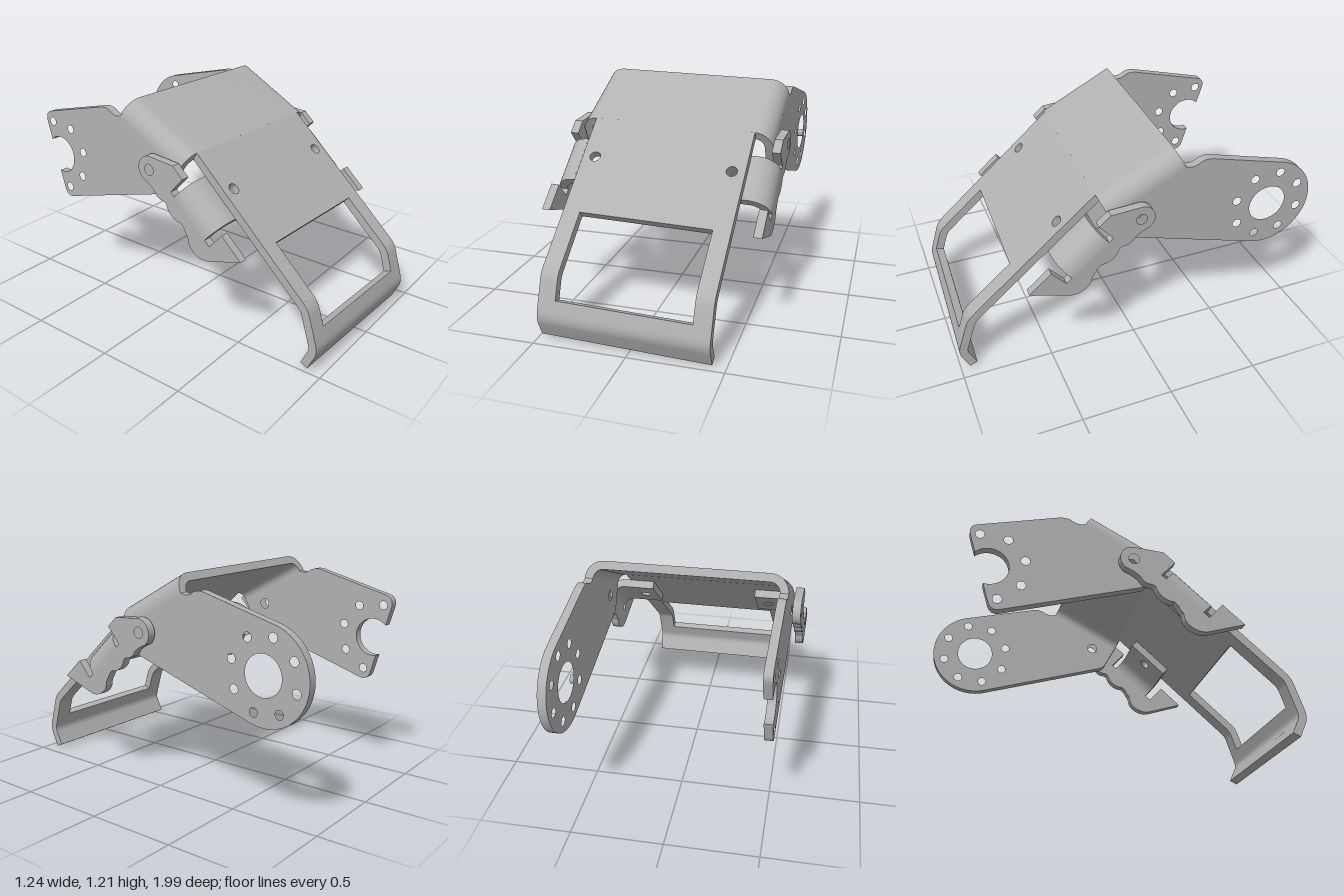
import * as THREE from 'three';
import { toCreasedNormals } from 'three/addons/utils/BufferGeometryUtils.js';

const T = 0.046; // sheet thickness
const RAD = Math.PI / 180;
const V = (x, y) => new THREE.Vector2(x, y);

export function createModel() {
  const steel = new THREE.MeshStandardMaterial({ color: 0xb2b2b2 });
  steel.name = 'sheetGrey';

  const extrude = (shape, depth) =>
    new THREE.ExtrudeGeometry(shape, { depth, bevelEnabled: false, curveSegments: 24 });
  const add = (parent, name, geometry) => {
    const mesh = new THREE.Mesh(toCreasedNormals(geometry, 0.6), steel);
    mesh.name = name;
    parent.add(mesh);
  };
  // shape drawn in (z, y), extruded across x around xMid
  const upright = (shape, width, xMid) =>
    extrude(shape, width).rotateY(-Math.PI / 2).translate(xMid + width / 2, 0, 0);
  // shape drawn in (x, z), thickened downward from y = top
  const flat = (shape, top) => extrude(shape, T).rotateX(Math.PI / 2).translate(0, top, 0);
  const hole = (shape, x, y, r) =>
    shape.holes.push(new THREE.Path().absarc(x, y, r, 0, Math.PI * 2, true));
  // quarter bend points from the top face down to the side face
  const bend = (side, cx, cy, r) =>
    Array.from({ length: 11 }, (_, i) => {
      const a = (i / 10) * Math.PI / 2;
      return V(side * (cx + r * Math.sin(a)), cy + r * Math.cos(a));
    });
  // group whose y axis is the panel normal and z axis runs down the panel
  const panelFrame = (name, y, z, slopeY, slopeZ) => {
    const X = new THREE.Vector3(1, 0, 0);
    const D = new THREE.Vector3(0, slopeY, slopeZ).normalize();
    const N = new THREE.Vector3().crossVectors(D, X);
    const group = new THREE.Group();
    group.name = name;
    group.applyMatrix4(new THREE.Matrix4().makeBasis(X, N, D).setPosition(0, y, z));
    return group;
  };

  const body = new THREE.Group();
  body.name = 'bracketBody';

  // upper panel with both sides folded down
  const upper = panelFrame('upperPanel', 1.205, -0.2, -0.215, 0.405);
  const arch = new THREE.Shape([
    ...bend(-1, 0.45, -0.1, 0.1).reverse(), ...bend(1, 0.45, -0.1, 0.1),
    ...bend(1, 0.45, -0.1, 0.1 - T).reverse(), ...bend(-1, 0.45, -0.1, 0.1 - T),
  ]);
  add(upper, 'foldedPanel', extrude(arch, 0.4585));
  body.add(upper);

  // side plates: one with a full ring of holes, one ending in a half-round notch
  const sidePlate = (notched) => {
    const cz = -0.755, cy = 0.776, R = 0.258, axis = 16.5 * RAD, bore = 0.107;
    const at = (a, b) => [cz + a * Math.cos(axis) - b * Math.sin(axis),
      cy + a * Math.sin(axis) + b * Math.cos(axis)];
    const s = new THREE.Shape();
    s.moveTo(0.158, 0.902);
    s.lineTo(0.095, 0.785);
    s.quadraticCurveTo(0.078, 0.755, 0.045, 0.748);
    if (notched) {
      const end = -0.05, half = Math.acos(end / bore);
      s.lineTo(...at(0, -R));
      s.quadraticCurveTo(...at(end, -R), ...at(end, -R + 0.06));
      s.lineTo(...at(end, -Math.sqrt(bore * bore - end * end)));
      s.absarc(cz, cy, bore, axis - half, axis + half, false);
      s.lineTo(...at(end, R - 0.06));
      s.quadraticCurveTo(...at(end, R), ...at(0, R));
    } else {
      s.absarc(cz, cy, R, axis - Math.PI / 2, axis - Math.PI * 1.5, true);
      hole(s, cz, cy, bore);
    }
    s.lineTo(-0.41, 1.132);
    s.quadraticCurveTo(-0.36, 1.147, -0.325, 1.127);
    s.quadraticCurveTo(-0.29, 1.1, -0.247, 1.117);
    for (let k = -2; k <= (notched ? 2 : 5); k++) {
      hole(s, ...at(0.197 * Math.cos(k * 45 * RAD), 0.197 * Math.sin(k * 45 * RAD)), 0.024);
    }
    hole(s, 0.007, 0.892, 0.03);
    return s;
  };
  add(body, 'leftSidePlate', upright(sidePlate(false), T, 0.55 - T / 2));
  add(body, 'rightSidePlate', upright(sidePlate(true), T, -0.55 + T / 2));

  // sloping front panel, open below for the window
  const W = 0.457, win = 0.362, foldT = 0.92;
  const front = panelFrame('frontPanel', 0.99, 0.205, -0.642, 0.713);
  const sheet = new THREE.Shape([
    V(-W, 0), V(W, 0), V(W, foldT), V(win, foldT), V(win, 0.598),
    V(-win, 0.598), V(-win, foldT), V(-W, foldT),
  ]);
  for (const s of [-1, 1]) hole(sheet, s * 0.385, 0.252, 0.03);
  add(front, 'slopingSheet', flat(sheet, 0));

  // side brackets: pad under the sheet, bent tab, outer plate with scalloped edge
  const t0 = 0.117, t1 = 0.386, tabX = 0.485, tabR = 0.12, root = -0.045 - tabR;
  const ear = new THREE.Shape();
  ear.moveTo(0, -0.047);
  ear.lineTo(0.085, -0.047);
  ear.lineTo(0.085, root);
  ear.lineTo(0.427, root);
  ear.lineTo(0.427, -0.047);
  ear.lineTo(0.588, -0.047);
  ear.lineTo(0.482, -0.228);
  ear.quadraticCurveTo(0.455, -0.272, 0.41, -0.281);
  ear.quadraticCurveTo(0.365, -0.292, 0.335, -0.27);
  ear.quadraticCurveTo(0.315, -0.25, 0.29, -0.25);
  ear.quadraticCurveTo(0.265, -0.235, 0.235, -0.24);
  ear.quadraticCurveTo(0.21, -0.265, 0.17, -0.264);
  ear.quadraticCurveTo(0.14, -0.264, 0.12, -0.25);
  ear.quadraticCurveTo(0.1, -0.24, 0.08, -0.258);
  ear.quadraticCurveTo(0.05, -0.278, 0.015, -0.262);
  ear.quadraticCurveTo(-0.03, -0.262, -0.075, -0.28);
  ear.absarc(-0.0816, -0.205, 0.075, 275 * RAD, 132 * RAD, true);
  hole(ear, -0.0816, -0.205, 0.03);
  for (const s of [-1, 1]) {
    const bracket = new THREE.Group();
    bracket.name = s > 0 ? 'leftBracket' : 'rightBracket';
    const pad = new THREE.Shape([V(s * 0.31, t0), V(s * tabX, t0), V(s * tabX, t1), V(s * 0.31, t1)]);
    hole(pad, s * 0.385, 0.252, 0.03);
    add(bracket, 'mountingPad', flat(pad, -0.0455));
    const tab = new THREE.Shape([
      ...bend(s, tabX, root, tabR), ...bend(s, tabX, root, tabR - T).reverse(),
    ]);
    add(bracket, 'bentTab', extrude(tab, t1 - t0).translate(0, 0, t0));
    add(bracket, 'outerPlate', upright(ear, T, s * (tabX + tabR - T / 2)));
    front.add(bracket);
  }
  body.add(front);

  // lower lip: a ribbon following the outer face, thickened inward
  const corner = (a, v, b) =>
    new THREE.QuadraticBezierCurve(a, v, b).getPoints(6);
  const ribbon = (pts) => {
    const inner = pts.map((p, i) => {
      const d = pts[Math.min(i + 1, pts.length - 1)].clone().sub(pts[Math.max(i - 1, 0)]).normalize();
      return V(p.x + d.y * T, p.y - d.x * T);
    });
    return new THREE.Shape([...pts, ...inner.reverse()]);
  };
  const sill = V(0.957, 0.222);
  const rail = ribbon([...corner(V(0.8886, 0.3745), V(0.9175, 0.348), V(0.929, 0.311)), sill]);
  for (const s of [-1, 1]) {
    add(body, s > 0 ? 'leftWindowRail' : 'rightWindowRail',
      upright(rail, W - win, s * (W + win) / 2));
  }
  const lip = ribbon([sill, ...corner(V(0.975, 0.164), V(0.988, 0.122), V(0.971, 0.086)), V(0.934, 0.009)]);
  add(body, 'lowerLip', upright(lip, 2 * W, 0));

  // slight overall skew
  body.rotation.set(0, -0.033, -0.016);
  const model = new THREE.Group();
  model.name = 'mountingBracket';
  model.add(body);
  return model;
}
